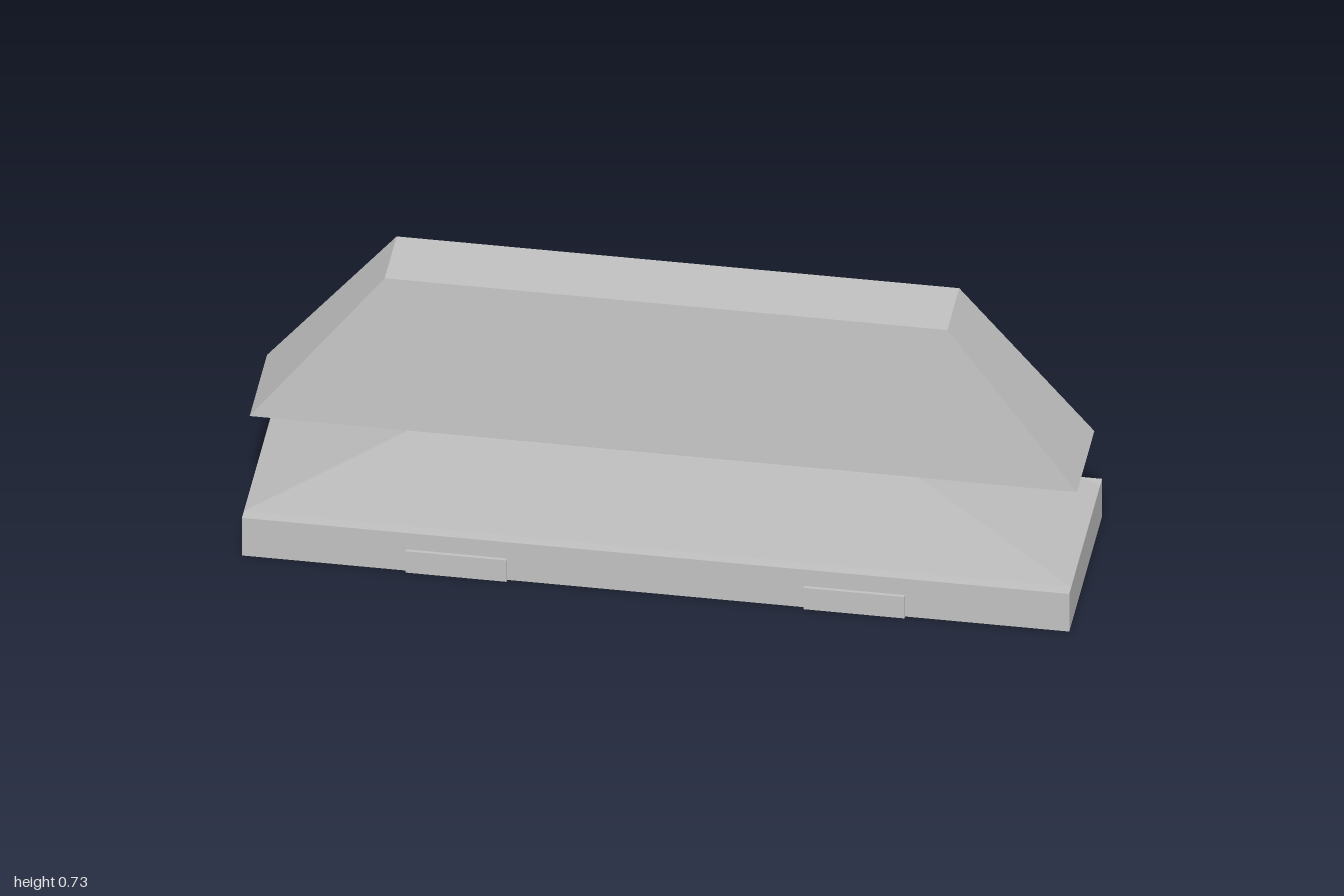
import * as THREE from 'three';

// Box whose top face is resized to make a tapered block
function taperedBlock(name, material, y0, y1, bottom, top) {
  const geometry = new THREE.BoxGeometry(2, y1 - y0, 2).toNonIndexed();
  const p = geometry.attributes.position;
  for (let i = 0; i < p.count; i++) {
    const isTop = p.getY(i) > 0;
    const [halfX, halfZ] = isTop ? top : bottom;
    p.setXYZ(i, p.getX(i) * halfX, isTop ? y1 : y0, p.getZ(i) * halfZ);
  }
  geometry.computeVertexNormals();
  const mesh = new THREE.Mesh(geometry, material);
  mesh.name = name;
  return mesh;
}

export function createModel() {
  const group = new THREE.Group();
  group.name = 'taperedBlockOnBase';
  const grey = new THREE.MeshStandardMaterial({ color: 0xc0c0c0 });
  grey.name = 'light grey';

  // Stacked body
  group.add(
    taperedBlock('base', grey, 0, 0.109, [1, 0.245], [1, 0.245]),
    taperedBlock('lowerTaper', grey, 0.109, 0.326, [1, 0.216], [0.62, 0.134]),
    taperedBlock('upperBody', grey, 0.326, 0.733, [1, 0.13], [0.68, 0.089])
  );

  // Small pads along the foot of the front and back
  for (const sz of [1, -1]) {
    for (const sx of [1, -1]) {
      const pad = new THREE.Mesh(new THREE.BoxGeometry(0.244, 0.062, 0.009), grey);
      pad.name = (sz > 0 ? 'front' : 'back') + (sx > 0 ? 'Left' : 'Right') + 'Pad';
      pad.position.set(sx * 0.481, 0.031, sz * 0.249);
      group.add(pad);
    }
  }
  return group;
}
